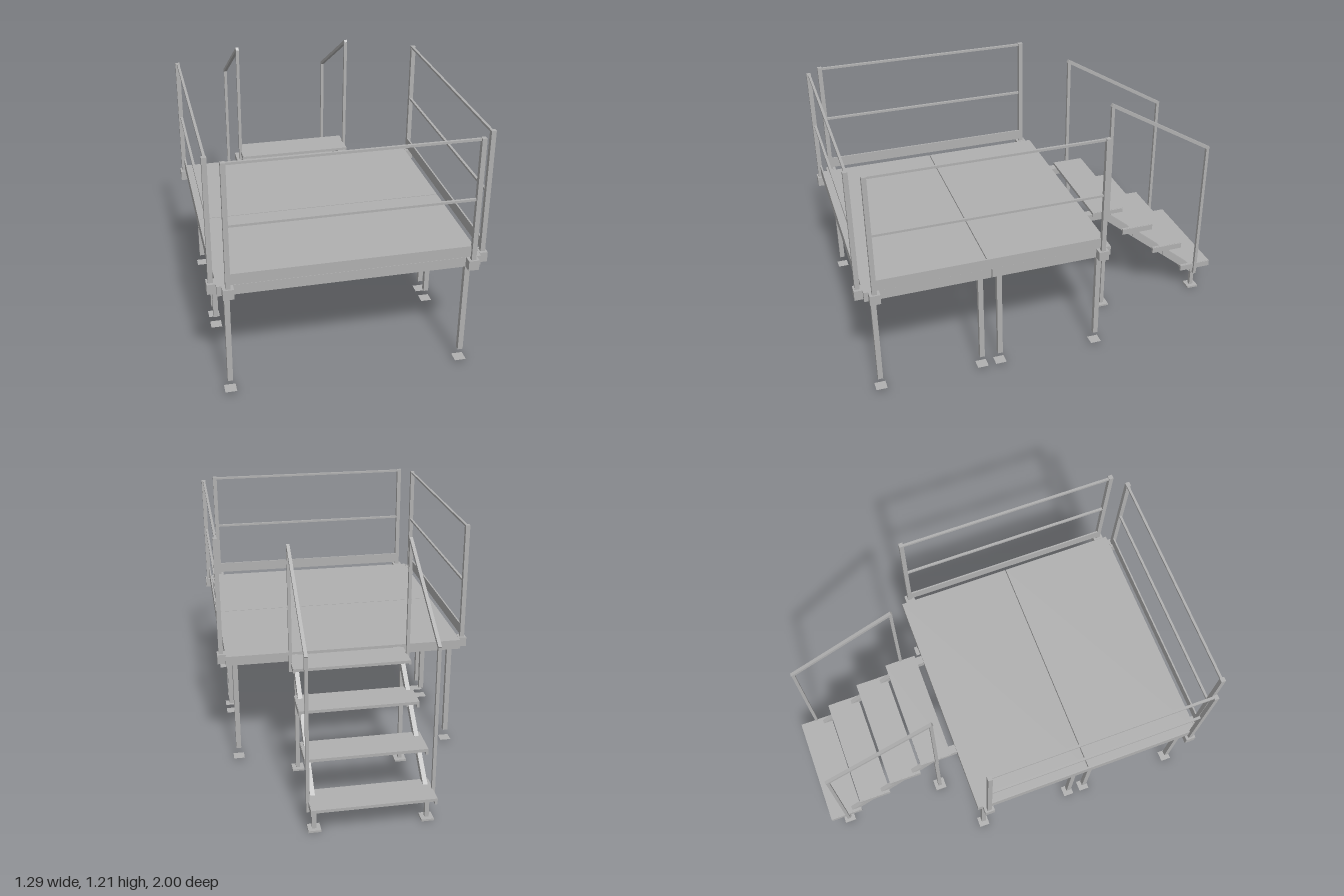
import * as THREE from 'three';

const metal = new THREE.MeshStandardMaterial({ color: 0xb0b0b0 });
metal.name = 'galvanised grey';

// Box given by its min/max extents on each axis
function slab(parent, name, [x0, x1], [y0, y1], [z0, z1]) {
  const m = new THREE.Mesh(new THREE.BoxGeometry(x1 - x0, y1 - y0, z1 - z0), metal);
  m.position.set((x0 + x1) / 2, (y0 + y1) / 2, (z0 + z1) / 2);
  m.name = name;
  parent.add(m);
  return m;
}
const around = (c, w) => [c - w / 2, c + w / 2];

// Sloping square bar in a plane of constant x, between two [z, y] points
function slopedBar(parent, name, x, width, height, a, b) {
  const dz = b[0] - a[0], dy = b[1] - a[1];
  const m = new THREE.Mesh(new THREE.BoxGeometry(width, height, Math.hypot(dz, dy)), metal);
  m.position.set(x, (a[1] + b[1]) / 2, (a[0] + b[0]) / 2);
  m.rotation.x = -Math.atan2(dy, dz);
  m.name = name;
  parent.add(m);
}

// Deck module: sheet, edge frame, joists and four legs with loose pads
function deckModule(z0, z1) {
  const g = new THREE.Group();
  g.name = 'deckModule';
  const X = 0.605, t = 0.02, frameY = [0.555, 0.594];
  slab(g, 'deckSheet', [-X, X], [0.594, 0.604], [z0, z1]);
  slab(g, 'frameBeam', [-X, X], frameY, [z0, z0 + t]);
  slab(g, 'frameBeam', [-X, X], frameY, [z1 - t, z1]);
  for (const s of [-1, 1]) {
    slab(g, 'frameEnd', around(s * (X - t / 2), t), frameY, [z0 + t, z1 - t]);
    for (const z of [z0 + 0.045, z1 - 0.045]) {
      slab(g, 'legFlange', around(s * 0.558, 0.04), [0.548, 0.594], around(z, 0.04));
      slab(g, 'leg', around(s * 0.558, 0.025), [0.062, 0.55], around(z, 0.025));
      for (const [y, turn] of [[0.01, -1], [0, 1]]) {
        const pad = new THREE.Mesh(new THREE.PlaneGeometry(0.055, 0.055), metal);
        pad.rotation.x = turn * Math.PI / 2;
        pad.position.set(s * 0.558, y, z);
        pad.name = 'groundPad';
        g.add(pad);
      }
    }
  }
  for (const x of [-0.3, 0, 0.3]) slab(g, 'joist', around(x, 0.02), [0.572, 0.594], [z0 + t, z1 - t]);
  return g;
}

// Railing along local x, with posts, two rails, kickboard and sockets; local +z is outward
function railing(half) {
  const g = new THREE.Group();
  g.name = 'railing';
  for (const s of [-1, 1]) {
    slab(g, 'railPost', around(s * half, 0.022), [0.557, 1.207], [0.01, 0.032]);
    slab(g, 'postSocket', around(s * half, 0.05), [0.556, 0.605], [0, 0.04]);
  }
  for (const y of [1.2, 0.91]) slab(g, 'rail', [-half, half], around(y, 0.011), [0.012, 0.024]);
  slab(g, 'kickboard', [-half, half], [0.617, 0.672], [0.01, 0.018]);
  return g;
}

function stairs() {
  const g = new THREE.Group();
  g.name = 'stairs';
  const treads = [[0.605, -0.285, -0.45], [0.47, -0.46, -0.63], [0.315, -0.645, -0.815], [0.16, -0.825, -1]];
  treads.forEach(([y, zf, zb], i) => {
    slab(g, 'tread', [-0.29, 0.29], [y - 0.015, y], [zb, zf]);
    for (const s of [-1, 1]) {
      slab(g, 'treadEnd', around(s * 0.288, 0.012), [y - (i ? 0.031 : 0.022), y - 0.001], [zb, zf]);
      if (i) slab(g, 'treadBracket', around(s * 0.265, 0.037), [y - 0.06, y - 0.015], around((zf + zb) / 2, 0.038));
    }
  });
  for (const s of [-1, 1]) {
    const x = s * 0.268;
    slopedBar(g, 'stringer', x, 0.022, 0.035, [-0.36, 0.565], [-0.915, 0.105]);
    slab(g, 'stairHook', around(s * 0.265, 0.042), [0.556, 0.592], [-0.37, -0.25]);
    // supports with foot plates
    for (const [z, top] of [[-0.365, 0.57], [-0.91, 0.13]]) {
      slab(g, 'stairLeg', around(x, 0.02), [0.008, top], around(z, 0.02));
      slab(g, 'footPlate', around(x, 0.06), [0, 0.01], around(z, 0.06));
    }
    // handrail
    const h = s * 0.296;
    slab(g, 'handrailPost', around(h, 0.016), [0.555, 1.2], around(-0.365, 0.016));
    slab(g, 'handrailPost', around(h, 0.016), [0.1, 0.882], around(-0.91, 0.016));
    slopedBar(g, 'handrail', h, 0.016, 0.016, [-0.358, 1.205], [-0.917, 0.88]);
  }
  return g;
}

export function createModel() {
  const model = new THREE.Group();
  model.name = 'platformWithStairs';
  model.add(deckModule(-0.25, 0.353), deckModule(0.357, 0.96));

  const front = railing(0.558);
  front.position.z = 0.96;
  model.add(front);
  for (const s of [-1, 1]) {
    const side = railing(0.557);
    side.rotation.y = s * Math.PI / 2;
    side.position.set(s * 0.605, 0, 0.358);
    model.add(side);
  }
  model.add(stairs());
  return model;
}
